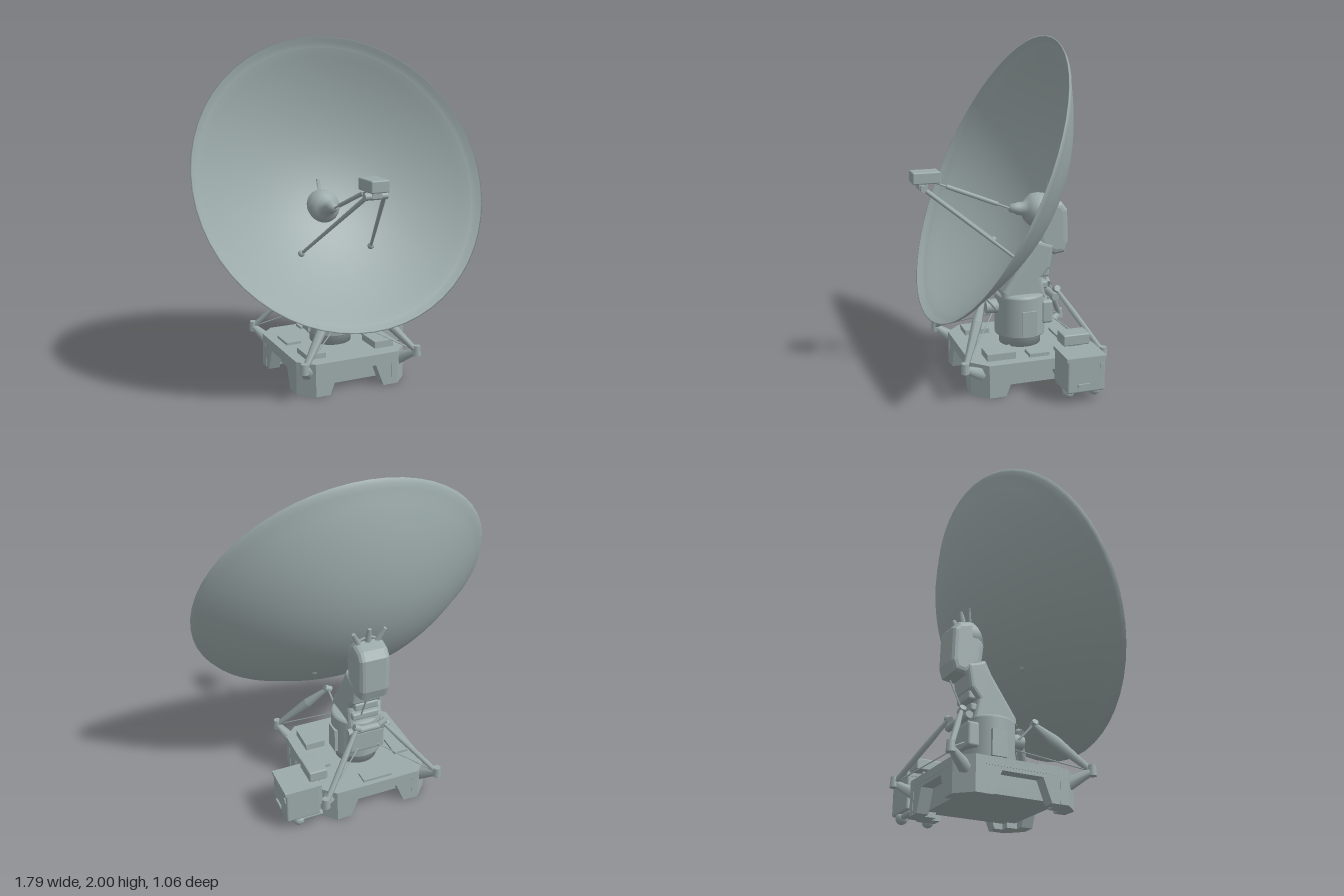
import * as THREE from 'three';
import { RoundedBoxGeometry } from 'three/addons/geometries/RoundedBoxGeometry.js';

const CZ = -0.0925; // centre of the base in z
const paint = new THREE.MeshStandardMaterial({ color: 0x9caaaa, side: THREE.DoubleSide });
paint.name = 'grey paint';
const V = (x, y, z) => new THREE.Vector3(x, y, z);

export function createModel() {
  const model = new THREE.Group();
  model.name = 'dishAntenna';

  const add = (name, geo, x = 0, y = 0, z = 0, parent = model) => {
    const m = new THREE.Mesh(geo, paint);
    m.name = name;
    m.position.set(x, y, z);
    parent.add(m);
    return m;
  };
  // box given by its limits
  const box = (name, x0, x1, y0, y1, z0, z1, round = 0) => {
    const s = [x1 - x0, y1 - y0, z1 - z0];
    const geo = round ? new RoundedBoxGeometry(...s, 2, round) : new THREE.BoxGeometry(...s);
    return add(name, geo, (x0 + x1) / 2, (y0 + y1) / 2, (z0 + z1) / 2);
  };
  // round bar between two points, with a radius at each end
  const bar = (name, a, b, ra, rb = ra, sides = 8) => {
    const m = add(name, new THREE.CylinderGeometry(rb, ra, a.distanceTo(b), sides));
    m.position.copy(a).add(b).multiplyScalar(0.5);
    m.quaternion.setFromUnitVectors(V(0, 1, 0), b.clone().sub(a).normalize());
    return m;
  };
  const outline = (pts) => new THREE.Shape(pts.map(([x, y]) => new THREE.Vector2(x, y)));
  // plan outline (x, z) raised between two heights
  const slab = (name, pts, y0, y1) => {
    const geo = new THREE.ExtrudeGeometry(outline(pts), { depth: y1 - y0, bevelEnabled: false });
    geo.rotateX(-Math.PI / 2);
    return add(name, geo, 0, y0, CZ);
  };
  // side outline (z, y) extruded across x with rounded edges
  const sideBlock = (name, pts, width, bevel) => {
    const geo = new THREE.ExtrudeGeometry(outline(pts.map(([z, y]) => [-z, y])), {
      depth: width - 2 * bevel, bevelSize: bevel, bevelThickness: bevel, bevelOffset: -bevel, bevelSegments: 3 });
    geo.translate(0, 0, -width / 2 + bevel);
    geo.rotateY(Math.PI / 2);
    return add(name, geo);
  };

  // ---- base: octagonal deck, corner feet, notched side panels
  slab('deck', [[-0.345, -0.27], [-0.26, -0.357], [0.26, -0.357], [0.345, -0.27],
    [0.345, 0.27], [0.26, 0.357], [-0.26, 0.357], [-0.345, 0.27]], 0.15, 0.195);
  box('baseCore', -0.26, 0.26, 0.03, 0.15, CZ - 0.27, CZ + 0.27);
  for (const sx of [-1, 1]) for (const sz of [-1, 1]) {
    slab('cornerFoot', [[0.22, 0.22], [0.345, 0.22], [0.345, 0.27], [0.26, 0.357], [0.22, 0.357]]
      .map(([x, z]) => [x * sx, z * sz]), 0, 0.15);
  }
  const panel = outline([[-0.25, 0], [-0.17, 0], [-0.12, 0.13], [0.12, 0.13], [0.17, 0],
    [0.25, 0], [0.25, 0.16], [-0.25, 0.16]]);
  for (let i = 0; i < 4; i++) {
    const geo = new THREE.ExtrudeGeometry(panel, { depth: 0.07, bevelEnabled: false });
    geo.translate(0, 0, (i % 2 ? 0.343 : 0.355) - 0.07);
    geo.rotateY(i * Math.PI / 2);
    add('sidePanel', geo, 0, 0, CZ);
  }

  // ---- deck fittings
  box('deckLocker', -0.28, -0.16, 0.195, 0.225, 0.03, 0.18);
  box('deckLocker', 0.16, 0.28, 0.195, 0.235, 0.0, 0.17);
  box('deckHatch', -0.29, -0.2, 0.195, 0.21, -0.25, -0.1);
  box('deckHatch', 0.2, 0.29, 0.195, 0.215, -0.2, -0.08);
  box('deckHatch', -0.1, 0.08, 0.195, 0.21, -0.42, -0.34);

  // ---- folded stabiliser legs at the four corners
  for (const sx of [-1, 1]) for (const front of [true, false]) {
    const sz = front ? 1 : -1;
    const at = (x, y, z) => V(sx * x, y, CZ + sz * z);
    const foot = at(0.355, 0.2, 0.415), top = at(0.08, 0.52, 0.225);
    const mid = foot.clone().lerp(top, 0.62);
    bar('legBracket', at(0.29, 0.13, 0.3), at(0.355, 0.2, 0.415), 0.04, 0.02, 6);
    bar('legPad', foot.clone().setY(0.175), foot.clone().setY(0.235), 0.026, 0.022);
    bar('legLower', foot, mid, 0.016, front ? 0.032 : 0.018, 6);
    bar('legUpper', mid, top, front ? 0.032 : 0.018, 0.012, 6);
    bar('legPivot', at(0.06, 0.51, 0.225), at(0.1, 0.53, 0.225), 0.02);
    bar('legBrace', foot, V(0, 0.38, CZ + sz * 0.15), 0.004, 0.004, 5);
    bar('legLink', top, at(0.06, 0.42, 0.14), 0.007, 0.007, 5);
  }

  // ---- turntable and pedestal
  const pedestal = [[0, 0.19], [0.125, 0.19], [0.125, 0.25], [0.15, 0.255], [0.15, 0.26],
    [0.15, 0.49], [0.15, 0.5], [0.135, 0.51], [0, 0.52]].map(([r, y]) => new THREE.Vector2(r, y));
  add('pedestal', new THREE.LatheGeometry(pedestal, 28), 0, 0, -0.115);
  for (const s of [-1, 1]) {
    box('pedestalDoor', s * 0.148 - 0.012, s * 0.148 + 0.012, 0.27, 0.42, -0.17, -0.08);
  }
  bar('frontMotor', V(0, 0.425, 0.0), V(0, 0.425, 0.1), 0.048, 0.04, 12);
  box('rearCabinet', -0.11, 0.11, 0.32, 0.46, -0.29, -0.22, 0.015);
  bar('rearCrossbar', V(-0.13, 0.485, -0.295), V(0.13, 0.485, -0.295), 0.022, 0.022, 10);

  // ---- leaning neck and elevation head
  sideBlock('neck', [[0.02, 0.48], [0.015, 0.53], [-0.14, 0.76], [-0.18, 0.84], [-0.3, 0.8],
    [-0.275, 0.66], [-0.225, 0.6], [-0.25, 0.48]], 0.2, 0.025);
  box('neckBand', -0.075, 0.075, 0.6, 0.65, -0.275, -0.2, 0.012);
  box('neckBand', -0.085, 0.085, 0.53, 0.575, -0.265, -0.18, 0.012);
  sideBlock('elevationHead', [[-0.2, 1.0], [-0.235, 1.045], [-0.275, 1.065], [-0.35, 1.045],
    [-0.385, 1.0], [-0.39, 0.8], [-0.37, 0.74], [-0.3, 0.73], [-0.2, 0.8], [-0.185, 0.92]], 0.19, 0.035);
  bar('headCable', V(0.03, 0.73, -0.34), V(0.03, 0.53, -0.245), 0.005, 0.005, 5);

  // ---- reflector: shallow bowl with a lip, tilted upwards
  const bowl = [];
  for (let i = 0; i <= 16; i++) {
    const r = 0.955 * i / 16;
    bowl.push(new THREE.Vector2(r, -0.38 * (1 - r * r)));
  }
  bowl.push(new THREE.Vector2(0.985, -0.018), new THREE.Vector2(1, 0.004), new THREE.Vector2(0.992, 0.004),
    new THREE.Vector2(0.972, -0.018), new THREE.Vector2(0.94, -0.036));
  const dish = add('reflector', new THREE.LatheGeometry(bowl, 56), 0, 1.203, 0.095);
  dish.scale.set(0.895, 1, 0.875);
  dish.rotation.x = 1.1407;

  // mounting ribs on the back of the bowl
  for (const a of [-0.5, 0, 0.5]) {
    bar('mountRib', V(Math.sin(a) * 0.06, 1.0, -0.26),
      V(Math.sin(a) * 0.2, 1.03 + Math.cos(a) * 0.12, -0.296), 0.025, 0.012, 6);
  }

  // ---- hub and feed horn in the middle of the bowl
  const hub = [[0.1, -0.02], [0.103, 0.03], [0.095, 0.07], [0.07, 0.1], [0.042, 0.115], [0.038, 0.15],
    [0.03, 0.17], [0.024, 0.2], [0, 0.205]].map(([r, y]) => new THREE.Vector2(r, y));
  add('feedHub', new THREE.LatheGeometry(hub, 24), 0, 0.99, -0.25).rotation.x = 1.45;

  // ---- receiver box on its tripod
  box('receiver', -0.055, 0.055, 1.195, 1.263, 0.37, 0.53, 0.008);
  bar('receiverBar', V(-0.068, 1.17, 0.47), V(0.068, 1.17, 0.47), 0.02, 0.02, 10);
  box('receiverMount', -0.03, 0.03, 1.16, 1.2, 0.44, 0.49);
  const tip = V(0, 1.01, -0.06), end = V(0, 1.195, 0.4);
  bar('centreRod', tip, end, 0.006);
  bar('centreSleeve', tip.clone().lerp(end, 0.18), tip.clone().lerp(end, 0.84), 0.013);
  for (const s of [-1, 1]) {
    const foot = V(s * 0.225, 0.77, -0.02), head = V(s * 0.055, 1.165, 0.465);
    bar('tripodStrut', foot, head, 0.009, 0.013);
    add('tripodFoot', new THREE.SphereGeometry(0.02, 10, 8), foot.x, foot.y, foot.z);
  }

  // ---- generator hung on the left side of the base
  box('generator', 0.355, 0.565, 0.065, 0.27, -0.43, -0.205, 0.012);
  box('generatorLid', 0.35, 0.57, 0.255, 0.275, -0.435, -0.2);
  box('generatorBracket', 0.3, 0.37, 0.09, 0.19, -0.38, -0.24);
  box('controlBox', 0.3, 0.41, 0.285, 0.35, -0.4, -0.24, 0.008);
  box('controlStand', 0.33, 0.39, 0.19, 0.29, -0.35, -0.28);
  box('generatorHandle', 0.56, 0.575, 0.1, 0.12, -0.335, -0.265);
  box('generatorLatch', 0.56, 0.572, 0.2, 0.23, -0.42, -0.4);
  for (const z of [-0.24, -0.4]) {
    bar('generatorAxle', V(0.34, 0.05, z), V(0.485, 0.05, z), 0.018, 0.018, 10);
    add('generatorRoller', new THREE.SphereGeometry(0.035, 14, 10), 0.485, 0.045, z);
  }
  return model;
}
